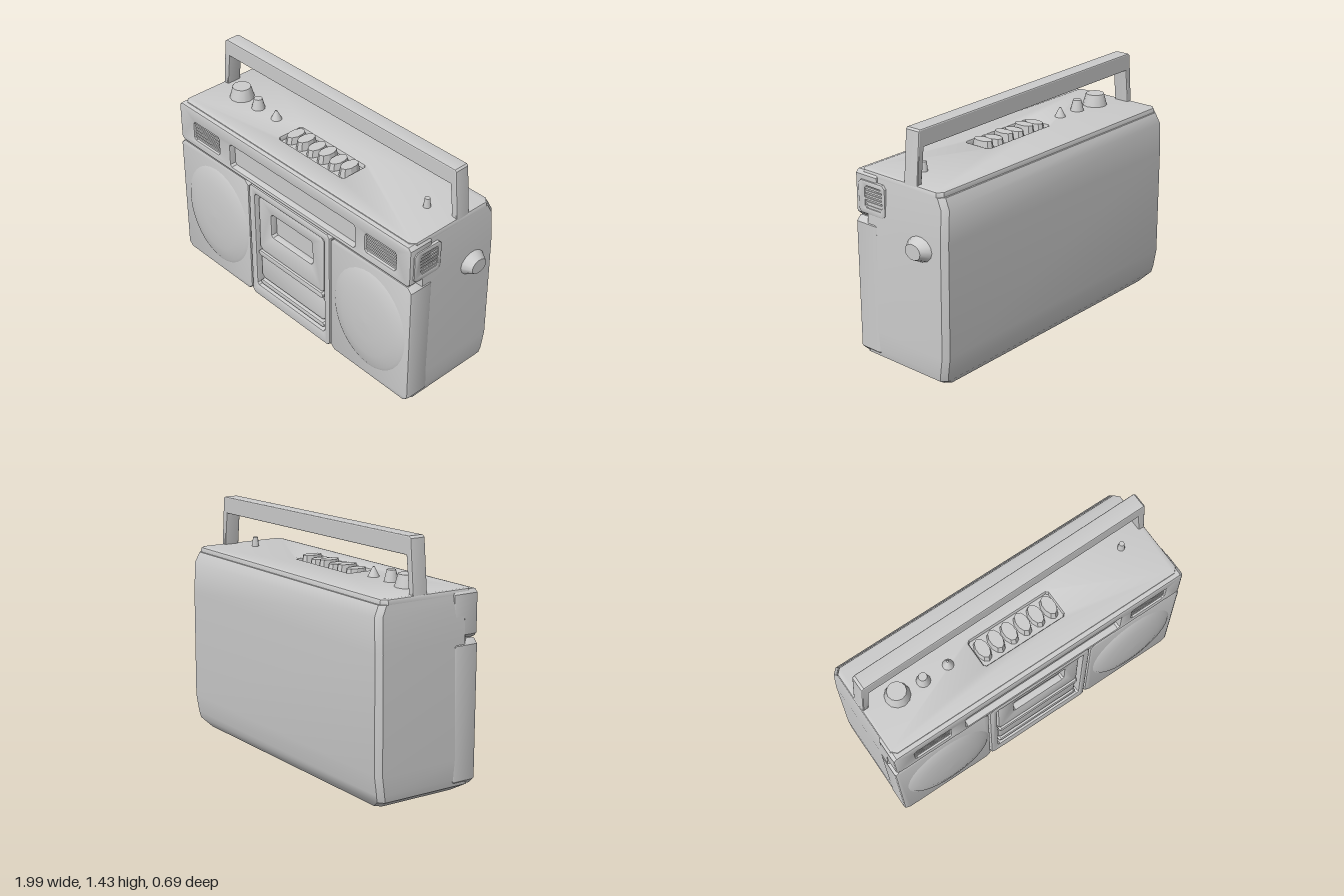
import * as THREE from 'three';
import { toCreasedNormals } from 'three/addons/utils/BufferGeometryUtils.js';

const shell = new THREE.MeshStandardMaterial({ color: 0xcccccc });
shell.name = 'light grey plastic';

function add(parent, name, geometry, x = 0, y = 0, z = 0) {
  const mesh = new THREE.Mesh(geometry, shell);
  mesh.name = name;
  mesh.position.set(x, y, z);
  parent.add(mesh);
  return mesh;
}

const creased = (geometry, angle = 0.6) => toCreasedNormals(geometry, angle);

// Rectangle path given as [x0, x1, y0, y1] with cut corners
function rectPath(path, [x0, x1, y0, y1], c) {
  path.moveTo(x0 + c, y0);
  path.lineTo(x1 - c, y0);
  path.lineTo(x1, y0 + c);
  path.lineTo(x1, y1 - c);
  path.lineTo(x1 - c, y1);
  path.lineTo(x0 + c, y1);
  path.lineTo(x0, y1 - c);
  path.lineTo(x0, y0 + c);
  path.closePath();
  return path;
}

// Bevelled plate between z0 and z1 with rectangular openings
function plate(rect, z0, z1, holes = [], bevel = 0.012, cut = 0.02) {
  const shape = rectPath(new THREE.Shape(), rect, cut);
  holes.forEach((h) => shape.holes.push(rectPath(new THREE.Path(), h, 0.012)));
  const g = new THREE.ExtrudeGeometry(shape, {
    depth: z1 - z0 - 2 * bevel, bevelThickness: bevel, bevelSize: bevel,
    bevelOffset: -bevel, bevelSegments: 2,
  });
  g.translate(0, 0, z0 + bevel);
  return creased(g, 0.5);
}

// Cabinet lofted through cut-corner rings: [y, x0, x1, z0, z1]
function cabinetGeometry() {
  const rings = [
    [0, -0.90, 0.87, -0.28, 0.24],
    [0.05, -0.98, 0.94, -0.32, 0.285],
    [0.09, -0.987, 0.947, -0.328, 0.25],
    [0.2, -0.99, 0.95, -0.345, 0.25],
    [0.85, -0.985, 0.945, -0.345, 0.25],
    [1.04, -0.975, 0.933, -0.343, 0.25],
    [1.10, -0.967, 0.927, -0.313, 0.25],
  ];
  const pos = [], index = [], c = 0.03;
  for (const [y, x0, x1, z0, z1] of rings) {
    pos.push(x0 + c, y, z1, x1 - c, y, z1, x1, y, z1 - c, x1, y, z0 + c,
      x1 - c, y, z0, x0 + c, y, z0, x0, y, z0 + c, x0, y, z1 - c);
  }
  for (let r = 0; r < rings.length - 1; r++) {
    for (let i = 0; i < 8; i++) {
      const a = r * 8 + i, b = r * 8 + (i + 1) % 8;
      index.push(a, b, b + 8, a, b + 8, a + 8);
    }
  }
  const top = (rings.length - 1) * 8;
  for (let i = 1; i < 7; i++) {
    index.push(0, i + 1, i);
    index.push(top, top + i, top + i + 1);
  }
  const g = new THREE.BufferGeometry();
  g.setAttribute('position', new THREE.Float32BufferAttribute(pos, 3));
  g.setIndex(index);
  return creased(g, 0.5);
}

// Horizontal slats filling a grille opening
function slats(parent, [x0, x1, y0, y1], z, count = 6) {
  const pitch = (y1 - y0) / count;
  for (let i = 0; i < count; i++) {
    add(parent, 'grilleSlat', new THREE.BoxGeometry(x1 - x0, pitch * 0.55, 0.03),
      (x0 + x1) / 2, y0 + (i + 0.5) * pitch, z);
  }
}

export function createModel() {
  const model = new THREE.Group();
  model.name = 'portableStereo';
  add(model, 'cabinet', cabinetGeometry());

  // Top deck with an opening for the keys
  const deck = add(model, 'topDeck',
    plate([-0.967, 0.927, -0.285, 0.303], 1.06, 1.13, [[-0.28, 0.25, -0.14, 0.03]], 0.015, 0.03));
  deck.rotation.x = -Math.PI / 2;

  // Upper front band with tuner window and two small grilles
  const grilles = [[-0.85, -0.62, 0.915, 1.035], [0.60, 0.83, 0.915, 1.035]];
  const tuner = [-0.52, 0.52, 0.89, 1.04];
  add(model, 'upperBand', plate([-0.978, 0.938, 0.862, 1.122], 0.15, 0.31, [tuner, ...grilles]));
  grilles.forEach((g) => slats(model, g, 0.282));
  add(model, 'tunerDial', new THREE.BoxGeometry(1.04, 0.15, 0.03), 0, 0.965, 0.255);

  // Speaker panels with shallow domes
  const speakers = [[-0.99, -0.37, -0.66], [0.325, 0.95, 0.64]];
  for (const [x0, x1, cx] of speakers) {
    add(model, 'speakerPanel', plate([x0, x1, 0.045, 0.858], 0.15, 0.307, [], 0.015, 0.03));
    const profile = [[0.29, -0.006], [0.26, 0.012], [0.19, 0.027], [0.1, 0.036], [0, 0.038]]
      .map(([r, h]) => new THREE.Vector2(r, h));
    const dome = add(model, 'speakerDome', new THREE.LatheGeometry(profile, 32), cx, 0.46, 0.305);
    dome.rotation.x = Math.PI / 2;
    dome.scale.z = 1.2;
  }

  // Cassette bay: frame, door, window and lower keys
  const bay = [-0.315, 0.275, 0.13, 0.80];
  add(model, 'cassetteFrame', plate([-0.365, 0.32, 0.045, 0.853], 0.15, 0.307, [bay], 0.012));
  add(model, 'cassetteDoor',
    plate([-0.30, 0.26, 0.40, 0.79], 0.22, 0.292, [[-0.19, 0.16, 0.55, 0.71]], 0.012));
  add(model, 'doorLedge', plate([-0.30, 0.26, 0.365, 0.405], 0.22, 0.305, [], 0.01, 0.012));
  add(model, 'lowerCover', plate([-0.30, 0.26, 0.185, 0.36], 0.22, 0.285, [], 0.012));
  add(model, 'lowerLedge', plate([-0.30, 0.26, 0.14, 0.175], 0.22, 0.295, [], 0.01, 0.012));

  // Keys inside the top opening
  for (let i = 0; i < 6; i++) {
    const height = 0.045 + 0.01 * (i % 2);
    const key = creased(new THREE.CylinderGeometry(0.036, 0.042, height, 10));
    add(model, 'topKey', key, -0.235 + i * 0.088, 1.098 + height / 2, 0.05).scale.z = 1.7;
  }

  // Control knobs: [x, z, top radius, bottom radius, height]
  const knobs = [
    [-0.76, 0.01, 0.055, 0.075, 0.075],
    [-0.60, 0.02, 0.025, 0.042, 0.07],
    [-0.44, 0.02, 0.006, 0.035, 0.06],
    [0.74, -0.01, 0.015, 0.022, 0.06],
  ];
  for (const [x, z, r1, r2, h] of knobs) {
    add(model, 'controlKnob', creased(new THREE.CylinderGeometry(r1, r2, h, 12)),
      x, 1.125 + h / 2, z);
  }

  // Grille and round knob on the left side
  const side = new THREE.Group();
  side.name = 'sideGrille';
  side.rotation.y = Math.PI / 2;
  const opening = [-0.235, -0.11, 0.92, 1.045];
  add(side, 'sideGrilleFrame',
    plate([-0.285, -0.085, 0.885, 1.075], 0.90, 0.946, [opening], 0.006));
  slats(side, opening, 0.928);
  model.add(side);
  const knob = add(model, 'sideKnob',
    creased(new THREE.CylinderGeometry(0.055, 0.095, 0.065, 14)), 0.967, 0.79, -0.165);
  knob.rotation.z = -Math.PI / 2;
  knob.scale.x = 0.8;

  // Carrying handle, cut as one slightly splayed frame
  const frame = new THREE.Shape([
    [-0.965, 1.1], [-0.928, 1.1], [-0.90, 1.33], [0.865, 1.325], [0.89, 1.1],
    [0.927, 1.1], [0.90, 1.415], [0.89, 1.425], [-0.92, 1.432], [-0.935, 1.42],
  ].map(([x, y]) => new THREE.Vector2(x, y)));
  const handle = new THREE.ExtrudeGeometry(frame, {
    depth: 0.075, bevelThickness: 0.01, bevelSize: 0.006, bevelOffset: -0.006, bevelSegments: 2,
  });
  handle.translate(0, 0, -0.0375);
  add(model, 'handle', creased(handle), 0, 0, -0.078).rotation.y = 0.013;

  return model;
}
